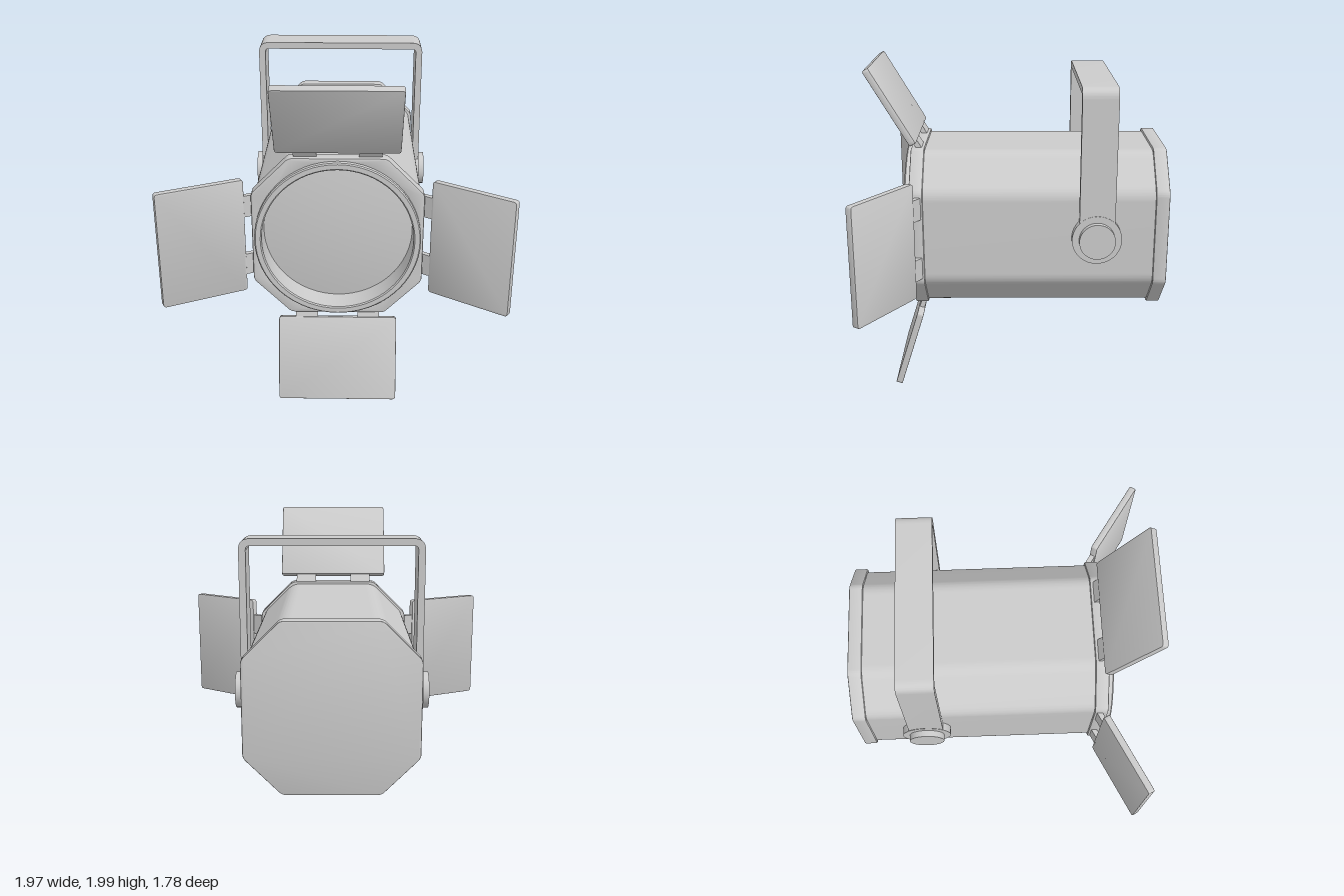
import * as THREE from 'three';
import { toCreasedNormals } from 'three/addons/utils/BufferGeometryUtils.js';

const CY = 1.025; // height of the lamp axis

const material = new THREE.MeshStandardMaterial({ color: 0xcccccc });
const thinMaterial = new THREE.MeshStandardMaterial({ color: 0xcccccc, side: THREE.DoubleSide });

function addMesh(parent, name, geometry, mat = material) {
  const mesh = new THREE.Mesh(geometry, mat);
  mesh.name = name;
  parent.add(mesh);
  return mesh;
}

// Closed polygon with every corner rounded by a quadratic curve
function roundedPolygon(points, radius) {
  const shape = new THREE.Shape();
  const n = points.length;
  points.forEach((p, i) => {
    const a = points[(i + n - 1) % n], b = points[(i + 1) % n];
    const start = p.clone().add(a.clone().sub(p).setLength(radius));
    const end = p.clone().add(b.clone().sub(p).setLength(radius));
    if (i === 0) shape.moveTo(start.x, start.y);
    else shape.lineTo(start.x, start.y);
    shape.quadraticCurveTo(p.x, p.y, end.x, end.y);
  });
  shape.closePath();
  return shape;
}

function octagon(half, flat, radius) {
  const pts = [[half, -flat], [half, flat], [flat, half], [-flat, half],
    [-half, flat], [-half, -flat], [-flat, -half], [flat, -half]];
  return roundedPolygon(pts.map(([x, y]) => new THREE.Vector2(x, y)), radius);
}

function rectangle(x0, x1, y0, y1, radius) {
  const pts = [[x0, y0], [x1, y0], [x1, y1], [x0, y1]];
  return roundedPolygon(pts.map(([x, y]) => new THREE.Vector2(x, y)), radius);
}

function boreHole(shape, radius) {
  shape.holes.push(new THREE.Path().absarc(0, 0, radius, 0, Math.PI * 2, true));
  return shape;
}

// Extrude between two z values, with an optional bevel kept inside the outline
function extrude(shape, z0, z1, bevel = 0, crease = 0.5) {
  const geo = new THREE.ExtrudeGeometry(shape, {
    depth: z1 - z0 - 2 * bevel,
    curveSegments: 24,
    bevelEnabled: bevel > 0,
    bevelThickness: bevel,
    bevelSize: bevel,
    bevelOffset: -bevel,
    bevelSegments: 2,
  });
  geo.translate(0, 0, z0 + bevel);
  return toCreasedNormals(geo, crease);
}

// Surface of revolution about z, from [radius, z] pairs
function latheZ(profile) {
  const geo = new THREE.LatheGeometry(profile.map(([r, z]) => new THREE.Vector2(r, z)), 64);
  geo.rotateX(Math.PI / 2);
  return toCreasedNormals(geo, 0.5);
}

// One barn door: lies along local +y from its hinge, tilted towards +z
function barnDoor(name, spin, hinge, tilt, side) {
  const arm = new THREE.Group();
  arm.name = name;
  arm.rotation.z = spin;
  const door = new THREE.Group();
  door.position.set(side, hinge, 0.572);
  door.rotation.x = THREE.MathUtils.degToRad(tilt);
  arm.add(door);
  addMesh(door, 'doorPanel', extrude(rectangle(-0.35, 0.35, 0.05, 0.555, 0.02), -0.02, 0.02, 0.004));
  for (const s of [-1, 1]) {
    const tab = addMesh(door, 'hingeTab', new THREE.BoxGeometry(0.13, 0.08, 0.03));
    tab.position.set(s * 0.183, 0.025, 0);
  }
  return arm;
}

export function createModel() {
  const model = new THREE.Group();
  model.name = 'stageLight';
  const lamp = new THREE.Group();
  lamp.name = 'lamp';
  lamp.position.set(0.003, CY, 0);
  model.add(lamp);

  // Housing with octagonal section, closed by a back cap
  addMesh(lamp, 'housing', extrude(boreHole(octagon(0.475, 0.27, 0.05), 0.45), -0.82, 0.55));
  addMesh(lamp, 'backCap', extrude(octagon(0.49, 0.275, 0.025), -0.885, -0.805, 0.008));

  // Front frame, round collar and recessed lens
  addMesh(lamp, 'frontFrame', extrude(boreHole(octagon(0.49, 0.275, 0.025), 0.45), 0.54, 0.62, 0.01));
  addMesh(lamp, 'lensCollar', latheZ([
    [0.475, 0.6], [0.475, 0.648], [0.468, 0.655], [0.44, 0.655], [0.433, 0.648], [0.433, 0.5],
  ]), thinMaterial);
  const dome = [];
  for (let i = 0; i <= 8; i++) {
    const r = 0.44 * (1 - i / 8);
    dome.push([r, 0.53 - 0.03 * (r / 0.44) ** 2]);
  }
  addMesh(lamp, 'lens', latheZ(dome), thinMaterial);

  // Four barn doors, each opened to its own angle
  lamp.add(
    barnDoor('topDoor', 0, 0.485, 30.5, 0),
    barnDoor('rightDoor', Math.PI / 2, 0.492, 26, 0.005),
    barnDoor('bottomDoor', Math.PI, 0.488, 17.5, 0),
    barnDoor('leftDoor', -Math.PI / 2, 0.498, 33.5, -0.005),
  );

  // U-shaped yoke with round ends and pivot knobs
  const yoke = new THREE.Group();
  yoke.name = 'yoke';
  yoke.position.set(0, 0.005, -0.467);
  lamp.add(yoke);
  const top = 0.885, out = 0.518, inn = 0.478;
  const bow = new THREE.Shape();
  bow.moveTo(out, 0);
  bow.lineTo(out, top - 0.065);
  bow.quadraticCurveTo(out, top, out - 0.065, top);
  bow.lineTo(-out + 0.065, top);
  bow.quadraticCurveTo(-out, top, -out, top - 0.065);
  bow.lineTo(-out, 0);
  bow.lineTo(-inn, 0);
  bow.lineTo(-inn, top - 0.065);
  bow.quadraticCurveTo(-inn, top - 0.04, -inn + 0.025, top - 0.04);
  bow.lineTo(inn - 0.025, top - 0.04);
  bow.quadraticCurveTo(inn, top - 0.04, inn, top - 0.065);
  bow.lineTo(inn, 0);
  bow.closePath();
  addMesh(yoke, 'yokeBow', extrude(bow, -0.103, 0.103));
  for (const s of [-1, 1]) {
    const plate = addMesh(yoke, 'pivotPlate', new THREE.CylinderGeometry(0.145, 0.145, 0.05, 48));
    plate.rotation.z = Math.PI / 2;
    plate.position.x = s * 0.495;
    const knob = addMesh(yoke, 'pivotKnob', new THREE.CylinderGeometry(0.105, 0.105, 0.09, 48));
    knob.rotation.z = Math.PI / 2;
    knob.position.x = s * 0.512;
  }
  return model;
}
